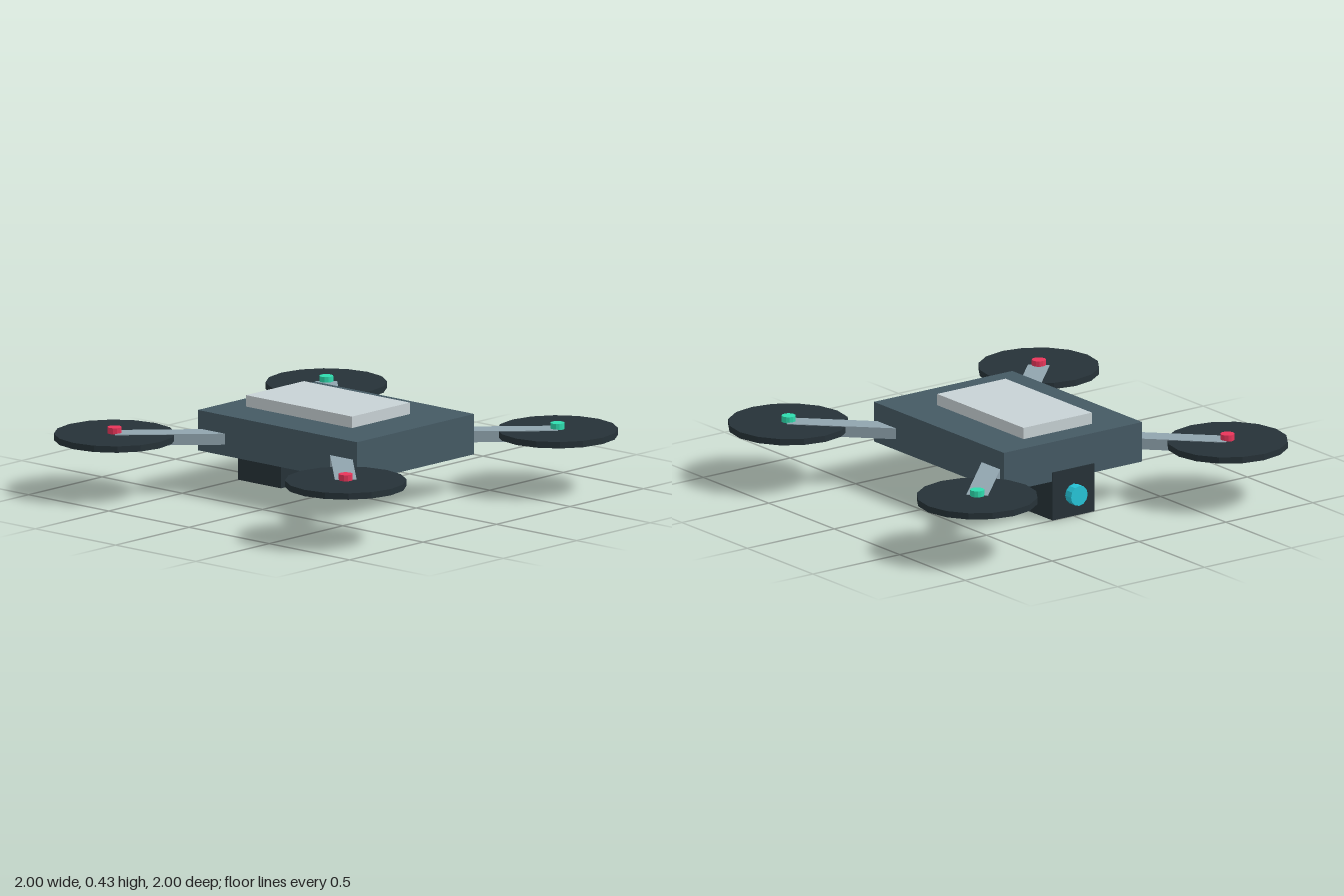
import * as THREE from 'three';

const paint = (color) => new THREE.MeshStandardMaterial({ color, flatShading: true });

export function createModel() {
  const model = new THREE.Group();
  model.name = 'quadcopter';

  const shell = paint(0x455a64);
  const dark = paint(0x263238);
  const armGrey = paint(0x90a4ae);
  const lidGrey = paint(0xc8d2d5);
  const red = paint(0xe8355a);
  const green = paint(0x2edcae);
  const cyan = paint(0x26c6da);

  const add = (parent, name, geometry, material, x, y, z) => {
    const mesh = new THREE.Mesh(geometry, material);
    mesh.name = name;
    mesh.position.set(x, y, z);
    parent.add(mesh);
    return mesh;
  };

  // Body and battery lid
  add(model, 'body', new THREE.BoxGeometry(0.796, 0.19, 0.992), shell, 0, 0.281, 0);
  add(model, 'batteryLid', new THREE.BoxGeometry(0.394, 0.08, 0.66), lidGrey, 0, 0.39, -0.05);

  // Camera under the rear end of the body
  add(model, 'cameraHousing', new THREE.BoxGeometry(0.24, 0.23, 0.266), dark, 0, 0.115, -0.367);
  const lens = add(model, 'cameraLens', new THREE.CylinderGeometry(0.048, 0.048, 0.09, 12), cyan, 0, 0.107, -0.5);
  lens.rotation.x = Math.PI / 2;

  // Four diagonal arms, each with a rotor disc and a signal light
  const hub = 0.72;
  const armGeometry = new THREE.BoxGeometry(0.1, 0.052, 0.7);
  const rotorGeometry = new THREE.CylinderGeometry(0.28, 0.28, 0.03, 16);
  const lightGeometry = new THREE.CylinderGeometry(0.033, 0.033, 0.04, 12);
  const reach = hub - 0.35 * Math.SQRT1_2;
  for (const sx of [-1, 1]) {
    for (const sz of [-1, 1]) {
      const unit = new THREE.Group();
      unit.name = (sz > 0 ? 'front' : 'back') + (sx > 0 ? 'Left' : 'Right') + 'Rotor';
      const arm = add(unit, 'arm', armGeometry, armGrey, sx * reach, 0.264, sz * reach);
      arm.rotation.y = sx * sz * Math.PI / 4;
      add(unit, 'rotorDisc', rotorGeometry, dark, sx * hub, 0.272, sz * hub);
      add(unit, 'signalLight', lightGeometry, sx > 0 ? green : red, sx * hub, 0.296, sz * hub);
      model.add(unit);
    }
  }
  return model;
}
